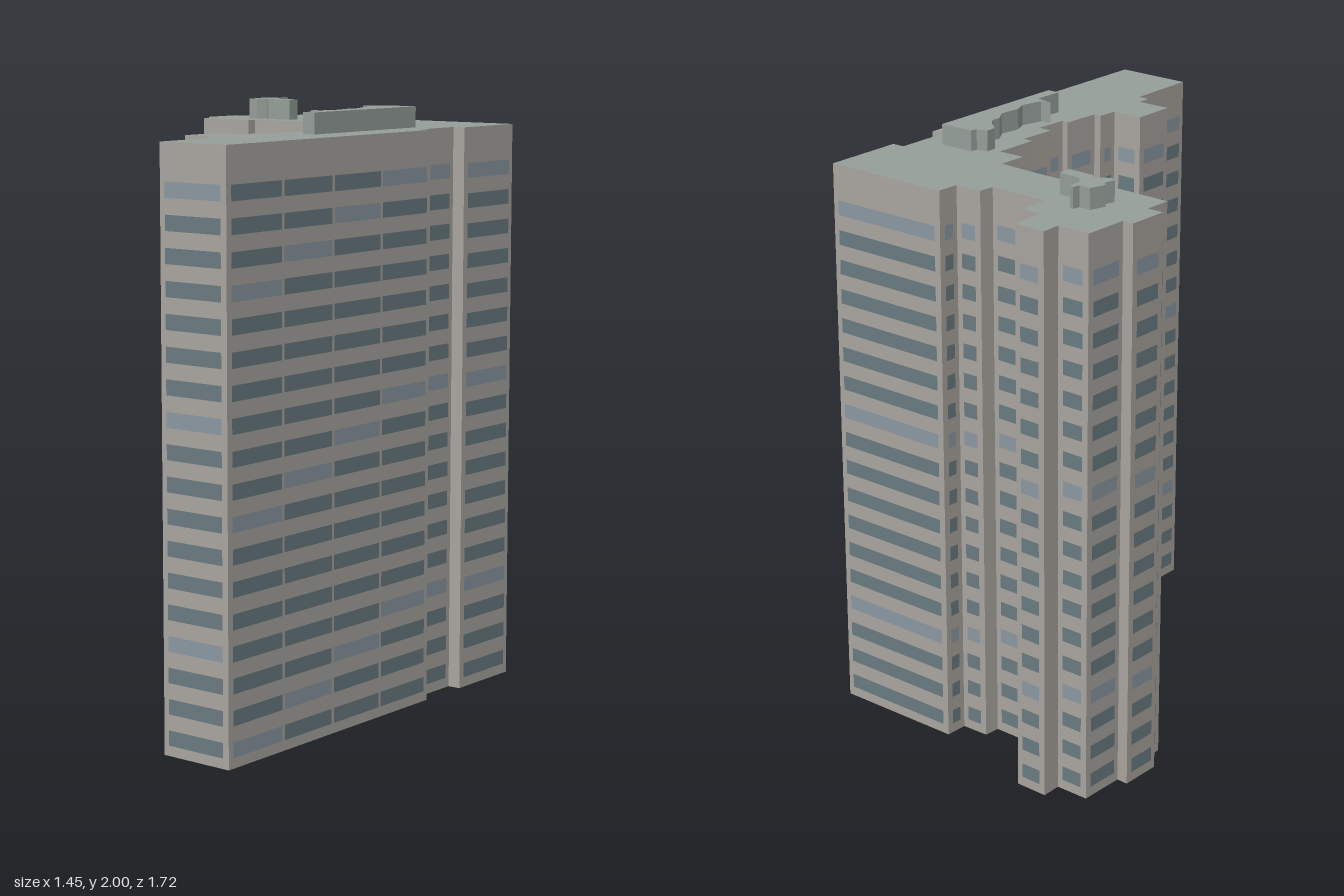
import * as THREE from 'three';
import { mergeGeometries } from 'three/addons/utils/BufferGeometryUtils.js';

const ROOF_Y = 1.93, TOP_Y = 2, FLOORS = 18, STOREY = 0.1015, TOP_ROW = 1.785;

// Footprints as x, z corners, running counter-clockwise seen from above
const MAIN = [
  [-0.727, 0.624], [-0.597, 0.857], [0.308, 0.338], [0.285, 0.3], [0.453, 0.204], [0.476, 0.242],
  [0.724, 0.1], [0.495, -0.3], [0.426, -0.263], [0.376, -0.346], [0.326, -0.322], [0.148, -0.228],
  [0.214, -0.096], [0.126, -0.048], [0.175, 0.036], [0.034, 0.114], [0.052, 0.146], [-0.066, 0.207],
  [-0.043, 0.253], [-0.144, 0.303], [-0.153, 0.278], [-0.276, 0.34], [-0.288, 0.315], [-0.353, 0.348],
  [-0.408, 0.25], [-0.542, 0.328], [-0.481, 0.433], [-0.522, 0.457], [-0.505, 0.494]];
const WING = [
  [0.148, -0.228], [0.326, -0.322], [0.222, -0.51], [0.312, -0.568], [0.28, -0.63], [0.385, -0.692],
  [0.33, -0.793], [0.27, -0.757], [0.212, -0.86], [0.07, -0.782], [0.052, -0.818], [-0.075, -0.747],
  [-0.046, -0.697], [-0.13, -0.65], [-0.03, -0.465], [0.002, -0.483]];
const MAIN_PENTHOUSE = [
  [-0.171, 0.41], [-0.148, 0.449], [0.326, 0.178], [0.262, 0.072], [0.24, 0.08], [0.212, 0.052],
  [0.18, 0.073], [0.17, 0.13], [0.155, 0.165], [0.125, 0.18], [0.1, 0.23], [0.03, 0.262],
  [0, 0.302], [-0.075, 0.325], [-0.098, 0.296], [-0.08, 0.362]];
const WING_PENTHOUSE = [
  [0.02, -0.585], [0.04, -0.565], [0.075, -0.555], [0.068, -0.525], [0.116, -0.44], [0.155, -0.465],
  [0.118, -0.54], [0.135, -0.58], [0.175, -0.605], [0.17, -0.62], [0.145, -0.61], [0.125, -0.648],
  [0.07, -0.635], [0.06, -0.61], [0.025, -0.6]];

const paint = (color) => new THREE.MeshStandardMaterial({ color, side: THREE.DoubleSide });

// Calls fn for each side of a footprint
function eachSide(loop, fn) {
  loop.forEach(([x, z], i) => {
    const [x2, z2] = loop[(i + 1) % loop.length];
    const dx = x2 - x, dz = z2 - z;
    fn({ x, z, dx, dz, length: Math.hypot(dx, dz), index: i });
  });
}

// Upright panel on a side, centred at distance s along it, standing out by gap
function panel(side, s, width, y, height, gap = 0) {
  const ux = side.dx / side.length, uz = side.dz / side.length;
  return new THREE.PlaneGeometry(width, height)
    .rotateY(Math.atan2(-uz, ux))
    .translate(side.x + ux * s - uz * gap, y, side.z + uz * s + ux * gap);
}

function walls(loop, y0, y1) {
  const parts = [];
  eachSide(loop, (side) => parts.push(panel(side, side.length / 2, side.length, (y0 + y1) / 2, y1 - y0)));
  return mergeGeometries(parts);
}

function slab(loop, y) {
  const shape = new THREE.Shape(loop.map(([x, z]) => new THREE.Vector2(x, -z)));
  return new THREE.ShapeGeometry(shape).rotateX(-Math.PI / 2).translate(0, y, 0);
}

// Window bands on every side wide enough; the pale panes step back every seven floors
function windows(loop, blankSide) {
  const dark = [], pale = [];
  eachSide(loop, (side) => {
    if (side.length < 0.07 || side.index === blankSide) return;
    const count = side.length > 0.6 ? 4 : 1;
    const bay = (side.length - 0.03) / count;
    for (let floor = 0; floor < FLOORS; floor++) {
      for (let j = 0; j < count; j++) {
        const s = side.length - 0.015 - bay * (j + 0.5);
        const pane = panel(side, s, bay - 0.012, TOP_ROW - floor * STOREY, 0.05, 0.002);
        (floor % 7 === j ? pale : dark).push(pane);
      }
    }
  });
  return { dark: mergeGeometries(dark), pale: mergeGeometries(pale) };
}

export function createModel() {
  const model = new THREE.Group();
  model.name = 'apartmentBlock';
  const wallPaint = paint(0xa9a59f), roofPaint = paint(0x959e99);
  const darkGlass = paint(0x6a7b81), paleGlass = paint(0x8b98a2);

  function add(group, name, geometry, material) {
    const mesh = new THREE.Mesh(geometry, material);
    mesh.name = name;
    group.add(mesh);
  }

  // Each block: open-bottomed walls, roof, windows and a rooftop plant room
  function block(name, loop, penthouse, joint) {
    const group = new THREE.Group();
    group.name = name;
    const glass = windows(loop, joint);
    add(group, 'walls', walls(loop, 0, ROOF_Y), wallPaint);
    add(group, 'roof', slab(loop, ROOF_Y), roofPaint);
    add(group, 'darkWindows', glass.dark, darkGlass);
    add(group, 'paleWindows', glass.pale, paleGlass);
    add(group, 'penthouseWalls', walls(penthouse, ROOF_Y, TOP_Y), roofPaint);
    add(group, 'penthouseRoof', slab(penthouse, TOP_Y), roofPaint);
    model.add(group);
  }

  block('mainBlock', MAIN, MAIN_PENTHOUSE, 10);
  block('rearWing', WING, WING_PENTHOUSE, 0);
  return model;
}
